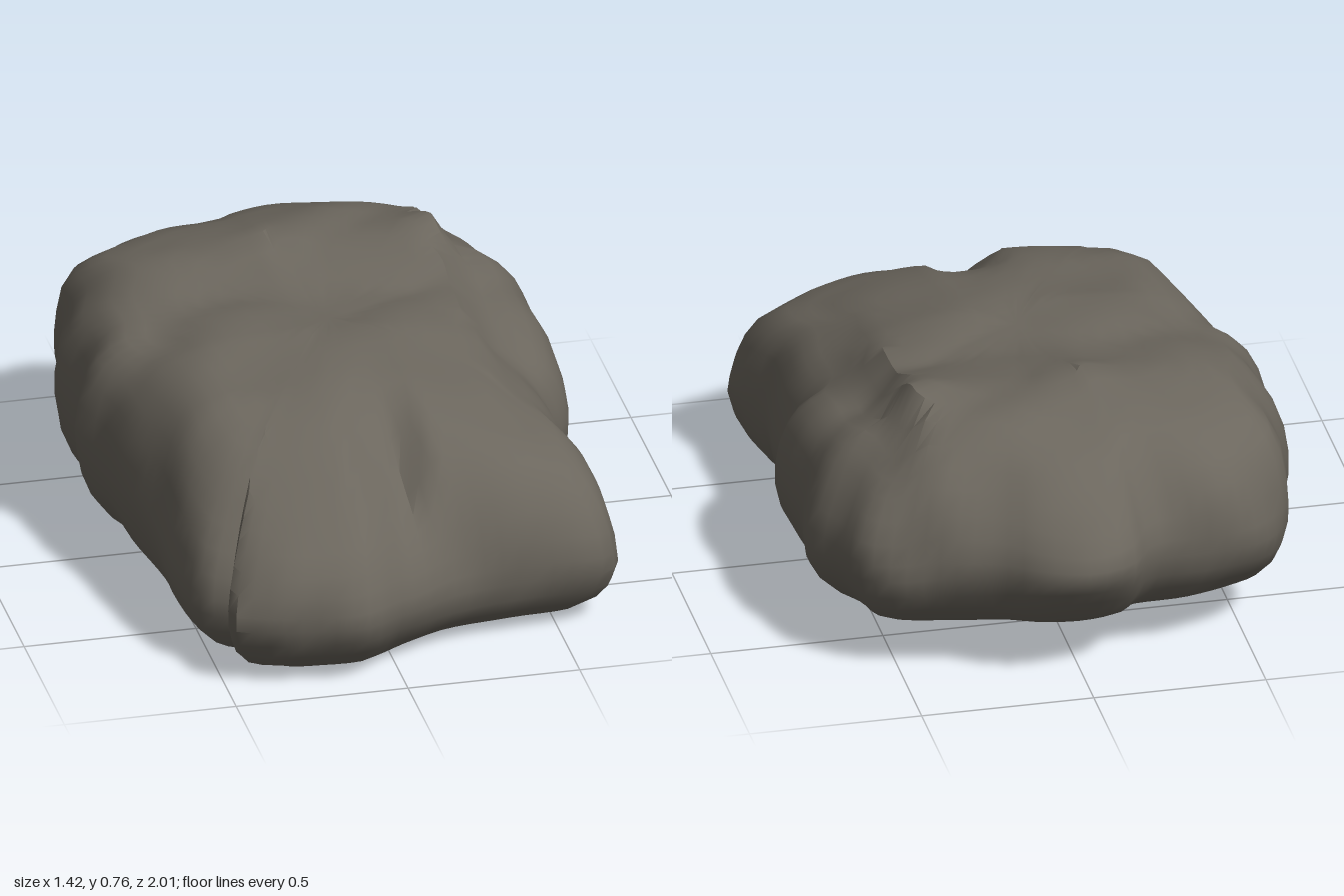
import * as THREE from 'three';
import { toCreasedNormals } from 'three/addons/utils/BufferGeometryUtils.js';

// Plan outline (x, z), from +x round by the front
const OUTLINE = [
  [.70, -.1], [.69, .03], [.64, .12], [.645, .3], [.63, .47], [.67, .58], [.655, .75], [.42, .79],
  [.2, .82], [.02, .89], [-.12, .995], [-.27, .985], [-.38, .96], [-.485, .87], [-.47, .8], [-.53, .77],
  [-.585, .6], [-.6, .42], [-.64, .2], [-.66, .03], [-.71, -.1], [-.69, -.2], [-.705, -.36], [-.65, -.5],
  [-.64, -.7], [-.42, -.84], [-.2, -.87], [-.13, -.96], [0, -1], [.14, -.96], [.24, -.89], [.42, -.83],
  [.6, -.74], [.645, -.58], [.70, -.45], [.70, -.28],
];
// Heights of the upper face on a coarse x / z grid
const XS = [-.65, -.4, -.1, .06, .15, .4, .48, .67];
const ZS = [-1, -.85, -.6, -.42, -.15, .1, .4, .55, .68, .8, 1];
const TOP = [
  [.50, .52, .53, .53, .53, .52, .50, .48],
  [.56, .61, .63, .63, .63, .61, .58, .53],
  [.65, .70, .72, .73, .73, .72, .62, .57],
  [.68, .73, .77, .75, .75, .76, .65, .59],
  [.64, .70, .70, .69, .69, .68, .59, .57],
  [.60, .70, .72, .71, .70, .66, .55, .51],
  [.54, .67, .69, .67, .67, .61, .56, .48],
  [.48, .61, .65, .58, .63, .56, .55, .48],
  [.44, .53, .58, .46, .55, .53, .52, .45],
  [.40, .46, .49, .42, .46, .46, .45, .42],
  [.36, .42, .43, .40, .40, .40, .40, .38],
];
const BOTTOM = [.27, .17, .115, .095, .08, .06, .035, .025, .015, .01, .06];
// Section from the middle of the underside to the middle of the top: reach, height share
const PROFILE = [
  [.25, 0], [.5, 0], [.7, 0], [.82, .01], [.88, .06], [.94, .16], [.98, .28], [1, .42], [1, .54],
  [.985, .68], [.955, .81], [.91, .91], [.86, .96], [.8, 1], [.72, 1], [.64, 1], [.56, 1], [.48, 1],
  [.4, 1], [.32, 1], [.24, 1], [.16, 1], [.08, 1],
];

// Index and smooth fraction of v in an ascending list
function locate(list, v) {
  let i = 0;
  while (i < list.length - 2 && v > list[i + 1]) i++;
  const t = THREE.MathUtils.clamp((v - list[i]) / (list[i + 1] - list[i]), 0, 1);
  return [i, t];
}
const mix = THREE.MathUtils.lerp;

function topAt(x, z) {
  const [i, u] = locate(XS, x), [j, v] = locate(ZS, z);
  return mix(mix(TOP[j][i], TOP[j][i + 1], u), mix(TOP[j + 1][i], TOP[j + 1][i + 1], u), v);
}
function bottomAt(z) {
  const [j, v] = locate(ZS, z);
  return mix(BOTTOM[j], BOTTOM[j + 1], v);
}
// Folded waves give weathered ridges and hollows
function weather(x, y, z) {
  const a = Math.abs(Math.sin(5.1 * x + 3.2 * z + 2.3 * y + 1.4 * Math.sin(4 * z + 1)));
  const b = Math.abs(Math.sin(4.3 * z - 5.7 * x + 6.1 * y + Math.sin(6 * x)));
  const c = Math.sin(13 * x + 7 * y) * Math.sin(11 * z + 9 * y + 2);
  return .55 * a + .45 * b - .65 + .35 * c;
}

function rockGeometry() {
  const N = 120;
  const curve = new THREE.CatmullRomCurve3(OUTLINE.map(([x, z]) => new THREE.Vector3(x, 0, z)), true, 'centripetal');
  const ring = Array.from({ length: N }, (_, i) => curve.getPointAt(i / N));
  const pos = [0, bottomAt(0), 0], index = [];

  // Stacked rings following the outline
  for (const [reach, share] of PROFILE) {
    for (const p of ring) {
      let x = p.x * reach, z = p.z * reach;
      const low = bottomAt(z), y = mix(low, topAt(x, z), share);
      const w = weather(x, y, z);
      const side = .04 * w * Math.sin(Math.PI * share);
      x *= 1 + side;
      z *= 1 + side;
      pos.push(x, Math.max(0, y + .024 * w * share), z);
    }
  }
  pos.push(0, topAt(0, 0) + .024 * weather(0, topAt(0, 0), 0), 0);

  // Closing fans and the bands between rings
  const rows = PROFILE.length, last = 1 + rows * N, id = (r, i) => 1 + r * N + i % N;
  for (let i = 0; i < N; i++) {
    index.push(0, id(0, i), id(0, i + 1));
    for (let r = 0; r < rows - 1; r++) {
      const a = id(r, i), b = id(r, i + 1), c = id(r + 1, i), d = id(r + 1, i + 1);
      index.push(a, c, b, b, c, d);
    }
    index.push(id(rows - 1, i), last, id(rows - 1, i + 1));
  }
  const g = new THREE.BufferGeometry();
  g.setAttribute('position', new THREE.Float32BufferAttribute(pos, 3));
  g.setIndex(index);
  return toCreasedNormals(g, .7);
}

export function createModel() {
  const stone = new THREE.MeshStandardMaterial({ color: 0x6b665d });
  stone.name = 'dark stone';
  const rock = new THREE.Mesh(rockGeometry(), stone);
  rock.name = 'boulder';
  const group = new THREE.Group();
  group.name = 'rock';
  group.add(rock);
  return group;
}
